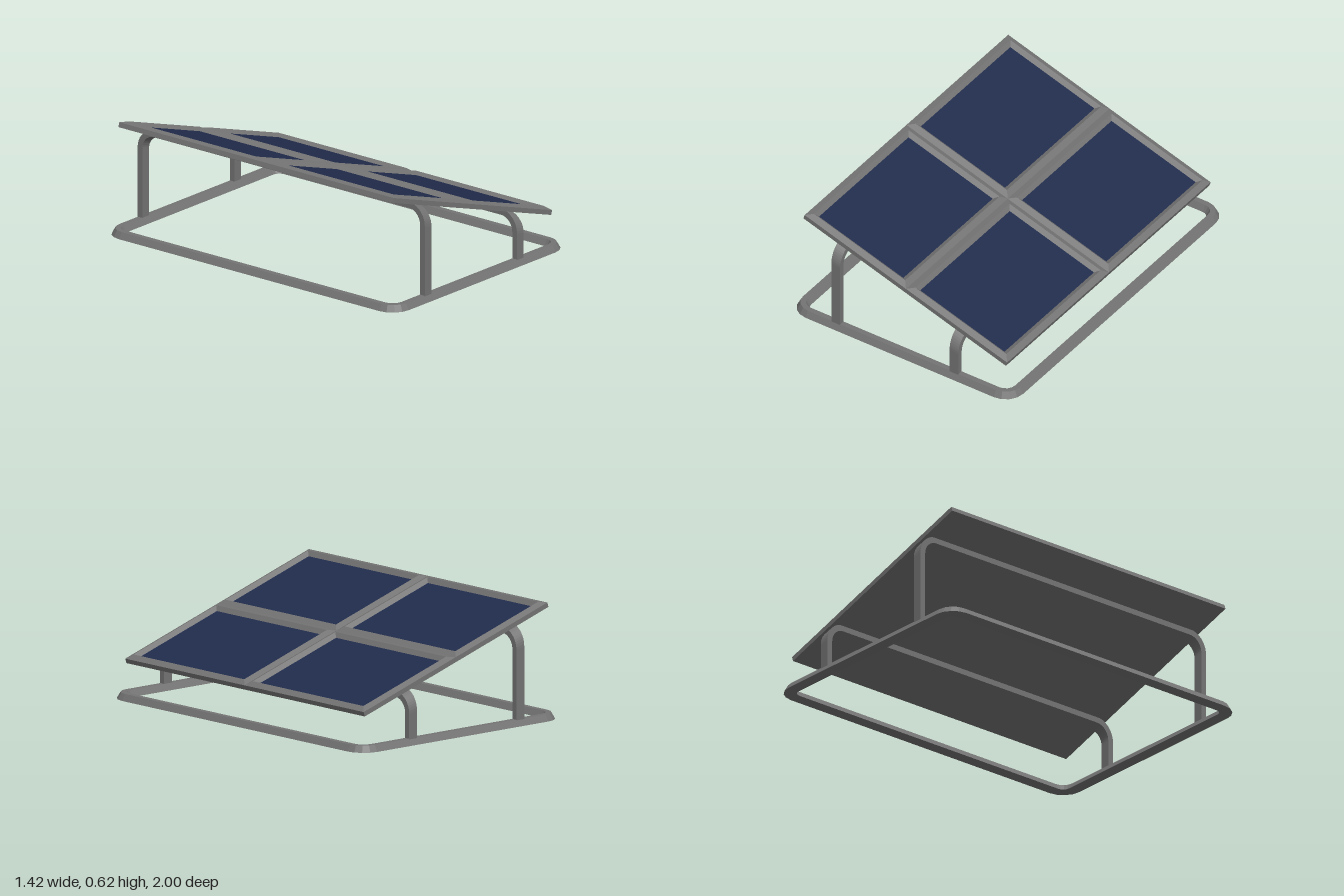
import * as THREE from 'three';

const metal = new THREE.MeshStandardMaterial({ color: 0x747474, flatShading: true });
metal.name = 'grey metal';
const cells = new THREE.MeshStandardMaterial({ color: 0x212c4d });
cells.name = 'navy cells';

// Outline of a rectangle in the xz plane with corner radius r (r = 0 is sharp)
function outline(hx, hz, r, y, steps) {
  const points = [];
  [[1, 1], [-1, 1], [-1, -1], [1, -1]].forEach(([sx, sz], corner) => {
    for (let i = 0; i <= steps; i++) {
      const a = (corner + (steps ? i / steps : 0)) * Math.PI / 2;
      points.push([sx * (hx - r) + r * Math.cos(a), y, sz * (hz - r) + r * Math.sin(a)]);
    }
  });
  return points;
}

// Skin joining successive outlines
function loft(loops, closed) {
  const n = loops[0].length;
  const index = [];
  const last = closed ? loops.length : loops.length - 1;
  for (let k = 0; k < last; k++) {
    const next = (k + 1) % loops.length;
    for (let i = 0; i < n; i++) {
      const j = (i + 1) % n;
      const a = k * n + i, b = k * n + j, c = next * n + i, d = next * n + j;
      index.push(a, c, b, b, c, d);
    }
  }
  const geo = new THREE.BufferGeometry();
  geo.setAttribute('position', new THREE.Float32BufferAttribute(loops.flat(2), 3));
  geo.setIndex(index);
  const flat = geo.toNonIndexed();
  flat.computeVertexNormals();
  return flat;
}

function add(parent, name, geo, mat) {
  const mesh = new THREE.Mesh(geo, mat);
  mesh.name = name;
  parent.add(mesh);
  return mesh;
}

// Upside-down U with rounded shoulders, its top sheared to follow the panels
function hoopGeometry(top, slope) {
  const half = 0.982, t = 0.032, r = 0.11, foot = 0.02, width = 0.055;
  const s = new THREE.Shape();
  const w = half - t, h = top - t, q = r - t;
  s.moveTo(half, foot);
  s.lineTo(half, top - r);
  s.absarc(half - r, top - r, r, 0, Math.PI / 2, false);
  s.lineTo(-half + r, top);
  s.absarc(-half + r, top - r, r, Math.PI / 2, Math.PI, false);
  s.lineTo(-half, foot);
  s.lineTo(-w, foot);
  s.lineTo(-w, h - q);
  s.absarc(-w + q, h - q, q, Math.PI, Math.PI / 2, true);
  s.lineTo(w - q, h);
  s.absarc(w - q, h - q, q, Math.PI / 2, 0, true);
  s.lineTo(w, foot);
  const geo = new THREE.ExtrudeGeometry(s, { depth: width, bevelEnabled: false, curveSegments: 6 });
  geo.translate(0, 0, -width / 2);
  geo.rotateY(Math.PI / 2);
  const p = geo.attributes.position;
  for (let i = 0; i < p.count; i++) {
    p.setY(i, p.getY(i) - slope * p.getX(i) * Math.max(0, p.getY(i) - foot) / (top - foot));
  }
  geo.computeVertexNormals();
  return geo;
}

export function createModel() {
  const model = new THREE.Group();
  model.name = 'solarPanelStand';

  // Ground ring with a trapezoid section
  const section = [[0, 0], [0.02, 0.035], [0.05, 0.035], [0.07, 0]];
  add(model, 'baseRing', loft(section.map(([inset, y]) =>
    outline(0.71 - inset, 1 - inset, 0.11 - inset, y, 4)), true), metal);

  // Tilted array placed by the centre of its underside
  const tilt = 0.309, slope = Math.tan(tilt), cx = -0.01, cy = 0.391;
  const array = new THREE.Group();
  array.name = 'panelArray';
  array.position.set(cx, cy, 0);
  array.rotation.z = -tilt;
  model.add(array);

  // Tall and short supporting hoops
  for (const [name, x] of [['tallHoop', -0.42], ['shortHoop', 0.333]]) {
    const top = cy - slope * (x - cx) + 0.002;
    add(model, name, hoopGeometry(top, slope), metal).position.x = x;
  }

  // Four framed panels: outer wall, raised ridge, slope down to the cells
  const hx = 0.3385, hz = 0.47, rim = 0.057;
  const profile = [[0, 0], [0, 0.026], [0.034, 0.04], [rim, 0.02]];
  const frameGeo = loft(profile.map(([inset, y]) =>
    outline(hx - inset, hz - inset, 0, y, 0)), false);
  const cellGeo = new THREE.PlaneGeometry(2 * (hx - rim), 2 * (hz - rim)).rotateX(-Math.PI / 2);
  const backGeo = new THREE.PlaneGeometry(2 * hx, 2 * hz).rotateX(Math.PI / 2);
  for (const sx of [-1, 1]) {
    for (const sz of [-1, 1]) {
      const panel = new THREE.Group();
      panel.name = 'panel';
      panel.position.set(sx * hx, 0, sz * hz);
      array.add(panel);
      add(panel, 'frame', frameGeo, metal);
      add(panel, 'cellSheet', cellGeo, cells).position.y = 0.02;
      add(panel, 'backSheet', backGeo, metal);
    }
  }
  return model;
}
